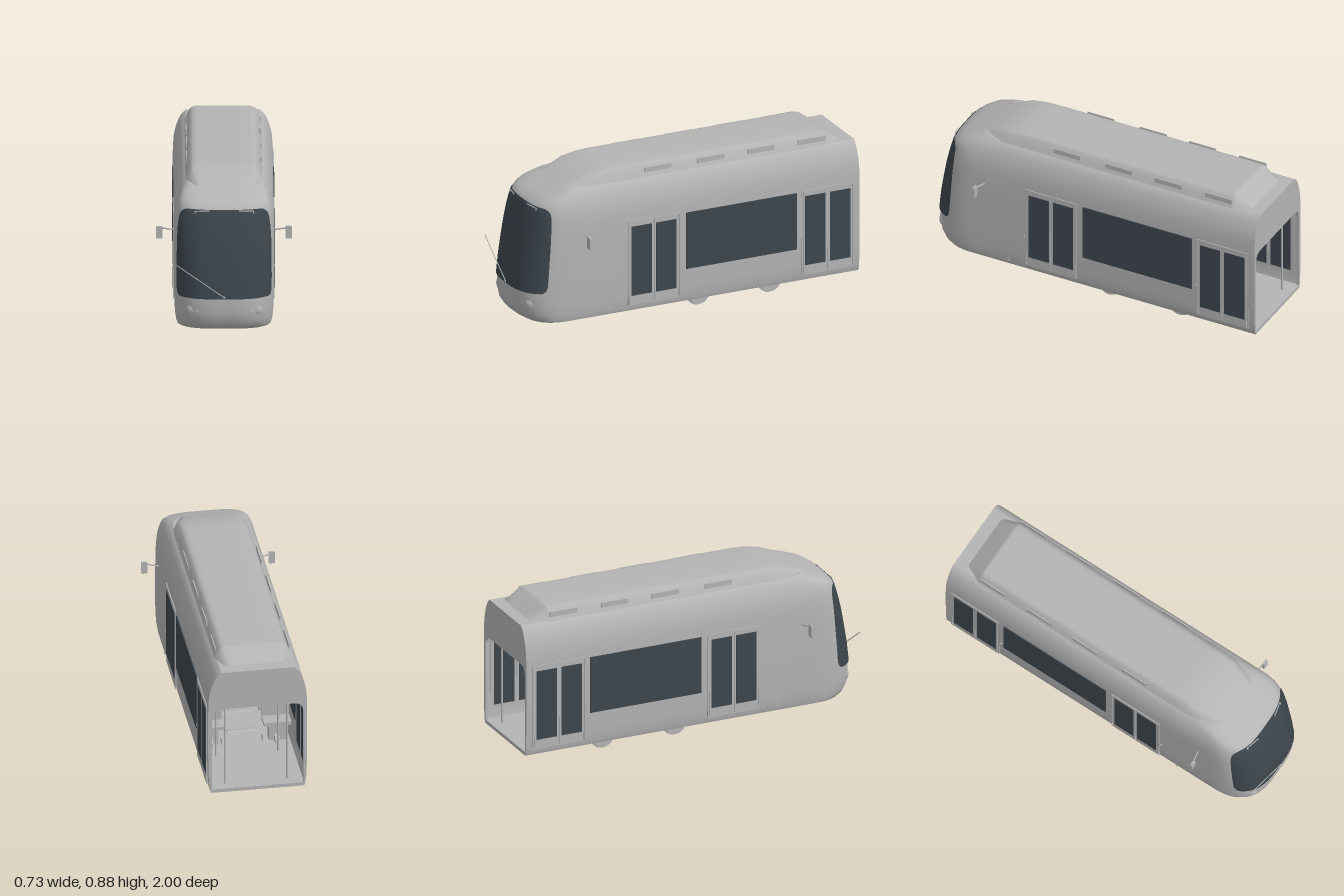
import * as THREE from 'three';

const mat = (name, color, side) => {
  const m = new THREE.MeshStandardMaterial({ color });
  m.name = name;
  if (side) m.side = side;
  return m;
};

// Body outline by height: y, half width, nose z, plan squareness
const PROFILE = [
  [0.07, 0.255, 0.93, 3], [0.085, 0.26, 0.955, 3], [0.12, 0.265, 0.978, 3], [0.17, 0.268, 0.988, 3],
  [0.25, 0.27, 0.99, 3], [0.35, 0.271, 0.978, 3], [0.45, 0.271, 0.961, 3], [0.55, 0.271, 0.942, 3],
  [0.62, 0.269, 0.925, 3], [0.67, 0.265, 0.911, 3], [0.7, 0.259, 0.902, 3], [0.72, 0.254, 0.893, 3],
  [0.74, 0.247, 0.874, 3.3], [0.763, 0.238, 0.836, 3.8], [0.785, 0.226, 0.775, 4.4],
  [0.8, 0.213, 0.735, 5], [0.811, 0.198, 0.706, 5],
];

function section(y) {
  let i = 0;
  while (i < PROFILE.length - 2 && y > PROFILE[i + 1][0]) i++;
  const a = PROFILE[i], b = PROFILE[i + 1], t = (y - a[0]) / (b[0] - a[0]);
  const [w, f, n] = [1, 2, 3].map(k => a[k] + (b[k] - a[k]) * t);
  return { w, f, n, z0: Math.min(0.7, f - 0.18) };
}

// Rounded nose point at height y and plan angle a, pushed out by off
function nosePoint(y, a, off = 0) {
  const { w, f, n, z0 } = section(y);
  const c = Math.cos(a), s = Math.max(0, Math.sin(a));
  return [Math.sign(c) * Math.abs(c) ** (2 / n) * (w + off), y, z0 + (f + off - z0) * s ** (2 / n)];
}

function noseZ(x, y) {
  const { w, f, n, z0 } = section(y);
  return z0 + (f - z0) * (1 - Math.abs(x / w) ** n) ** (1 / n);
}

// Surface through equal-length rows of points
function skin(rows) {
  const n = rows[0].length, index = [];
  for (let i = 0; i < rows.length - 1; i++)
    for (let j = 0; j < n - 1; j++) {
      const a = i * n + j, d = a + n;
      index.push(a, a + 1, d + 1, a, d + 1, d);
    }
  const g = new THREE.BufferGeometry();
  g.setAttribute('position', new THREE.Float32BufferAttribute(rows.flat(2), 3));
  g.setIndex(index);
  g.computeVertexNormals();
  return g;
}

export function createModel() {
  const root = new THREE.Group();
  root.name = 'tram';
  const grey = mat('bodyGrey', 0xb4b4b4, THREE.DoubleSide);
  const dark = mat('windowGlass', 0x3d464d, THREE.DoubleSide);

  const add = (name, geo, m, x = 0, y = 0, z = 0) => {
    const mesh = new THREE.Mesh(geo, m);
    mesh.name = name;
    mesh.position.set(x, y, z);
    root.add(mesh);
    return mesh;
  };
  const box = (name, m, sx, sy, sz, x, y, z) => add(name, new THREE.BoxGeometry(sx, sy, sz), m, x, y, z);
  const rod = (name, a, b, r, m = grey) => {
    const p = new THREE.Vector3(...a), q = new THREE.Vector3(...b);
    const mesh = add(name, new THREE.CylinderGeometry(r, r, p.distanceTo(q), 12), m);
    mesh.position.copy(p).lerp(q, 0.5);
    mesh.quaternion.setFromUnitVectors(new THREE.Vector3(0, 1, 0), q.sub(p).normalize());
    return mesh;
  };

  // Body shell with floor and roof caps
  const SEG = 64;
  const ring = y => {
    const { w } = section(y), pts = [[-w, y, -1]];
    for (let j = 0; j <= SEG; j++) pts.push(nosePoint(y, Math.PI * (1 - j / SEG)));
    pts.push([w, y, -1]);
    return pts;
  };
  add('bodyShell', skin(PROFILE.map(p => ring(p[0]))), grey);
  for (const [name, y] of [['underside', 0.07], ['roof', 0.811]]) {
    const shape = new THREE.Shape(ring(y).map(p => new THREE.Vector2(p[0], p[2])));
    add(name, new THREE.ShapeGeometry(shape).rotateX(Math.PI / 2), grey, 0, y, 0);
  }

  // Rear wall with its open gangway
  const wall = new THREE.Shape([
    ...PROFILE.map(p => new THREE.Vector2(p[1], p[0])),
    ...PROFILE.map(p => new THREE.Vector2(-p[1], p[0])).reverse(),
  ]);
  const hole = new THREE.Path();
  hole.moveTo(-0.25, 0.09);
  hole.lineTo(-0.25, 0.53);
  hole.quadraticCurveTo(-0.25, 0.585, -0.195, 0.585);
  hole.lineTo(0.195, 0.585);
  hole.quadraticCurveTo(0.25, 0.585, 0.25, 0.53);
  hole.lineTo(0.25, 0.09);
  hole.closePath();
  wall.holes.push(hole);
  add('rearWall', new THREE.ExtrudeGeometry(wall, { depth: 0.015, bevelEnabled: false }), grey, 0, 0, -1);

  // Wraparound windscreen with rounded corners
  const glassRows = [];
  for (let i = 0; i <= 32; i++) {
    const v = (1 - Math.cos(Math.PI * i / 32)) / 2, y = 0.248 + 0.474 * v;
    const edge = Math.max(0, 1 - Math.min(y - 0.248, 0.722 - y) / 0.045);
    const zEdge = 0.865 - 0.035 * v + 0.032 * (1 - Math.sqrt(1 - edge * edge));
    const { f, n, z0 } = section(y);
    const a = Math.asin(((zEdge - z0) / (f - z0)) ** (n / 2));
    const row = [];
    for (let j = 0; j <= SEG; j++) row.push(nosePoint(y, Math.PI - a - (Math.PI - 2 * a) * j / SEG, 0.004));
    glassRows.push(row);
  }
  add('windscreen', skin(glassRows), dark);

  // Roof fairing: z, half width, top height
  const fairing = [[0.708, 0.15, 0.812], [0.64, 0.18, 0.838], [0.574, 0.205, 0.86], [0.5, 0.208, 0.872],
    [0.43, 0.208, 0.877], [-0.82, 0.208, 0.877], [-0.835, 0.206, 0.872], [-0.93, 0.17, 0.812]];
  const half = [[1, 0], [0.93, 0.45], [0.86, 0.8], [0.8, 0.93], [0.7, 1], [0.35, 1.02]];
  const arch = [...half.map(([x, y]) => [-x, y]), [0, 1.03], ...[...half].reverse()];
  add('roofFairing', skin(fairing.map(([z, w, top]) =>
    arch.map(([x, y]) => [x * w, 0.808 + (top - 0.808) * y, z]))), grey);

  // Wiper and its pivot
  rod('wiper', [0, 0.258, 0.995], [-0.257, 0.438, 0.994], 0.0025);
  add('wiperPivot', new THREE.SphereGeometry(0.006, 12, 8), grey, 0, 0.258, 0.994);

  for (const s of [1, -1]) {
    // Side window and double doors
    box('sideWindow', dark, 0.0095, 0.325, 0.663, s * 0.271, 0.4225, -0.289);
    for (const zc of [0.235, -0.8075]) {
      for (const d of [0.075, -0.073]) {
        box('doorLeaf', grey, 0.007, 0.475, 0.143, s * 0.27, 0.3475, zc + d);
        box('doorGlass', dark, 0.0095, 0.4, 0.122, s * 0.271, 0.36, zc + d);
      }
      box('doorTopRail', grey, 0.008, 0.006, 0.312, s * 0.271, 0.589, zc);
      box('doorSill', grey, 0.01, 0.005, 0.312, s * 0.268, 0.108, zc);
      for (const d of [0.153, -0.153]) box('doorPost', grey, 0.008, 0.48, 0.004, s * 0.27, 0.348, zc + d);
      const button = add('doorButton', new THREE.CylinderGeometry(0.007, 0.007, 0.008, 16), grey, s * 0.272, 0.29, zc + 0.167);
      button.rotation.z = Math.PI / 2;
    }

    // Wing mirrors
    rod('mirrorArm', [s * 0.268, 0.551, 0.642], [s * 0.335, 0.563, 0.656], 0.004);
    const plate = new THREE.Shape();
    plate.absarc(0.0105, 0.0275, 0.007, 0, Math.PI / 2);
    plate.absarc(-0.0105, 0.0275, 0.007, Math.PI / 2, Math.PI);
    plate.absarc(-0.0105, -0.0275, 0.007, Math.PI, Math.PI * 1.5);
    plate.absarc(0.0105, -0.0275, 0.007, Math.PI * 1.5, Math.PI * 2);
    add('mirror', new THREE.ExtrudeGeometry(plate, { depth: 0.012, bevelEnabled: false }), grey, s * 0.349, 0.54, 0.654);

    // Headlights
    for (const [name, x, y, r] of [['headlight', 0.19, 0.178, 0.021], ['markerLight', 0.149, 0.174, 0.008]]) {
      const z = noseZ(x, y), dx = (noseZ(x + 0.005, y) - noseZ(x - 0.005, y)) / 0.01;
      const lamp = add(name, new THREE.SphereGeometry(r, 24, 12).scale(1, 1.1, 0.35), grey, s * x, y, z);
      const rim = add(name + 'Rim', new THREE.TorusGeometry(r, r * 0.13, 8, 28).scale(1, 1.1, 1), grey, s * x, y, z);
      lamp.rotation.y = rim.rotation.y = Math.atan(-dx) * s;
    }

    // Brackets at the top of the windscreen
    rod('topBracket', [s * 0.08, 0.717, 0.905], [s * 0.158, 0.712, 0.885], 0.003);
    rod('topBracketEnd', [s * 0.158, 0.714, 0.886], [s * 0.158, 0.7, 0.89], 0.003);

    // Roof side vents
    for (const z of [0.177, -0.14, -0.44, -0.745])
      box('roofVent', grey, 0.006, 0.028, 0.163, s * 0.2, 0.844, z);

    // Interior benches, poles and handrails
    for (const z of [-0.5, -0.32, -0.14]) {
      box('seat', grey, 0.15, 0.02, 0.09, s * 0.185, 0.2, z);
      box('seatBack', grey, 0.15, 0.15, 0.015, s * 0.185, 0.285, z + 0.045);
      box('seatBase', grey, 0.1, 0.1, 0.05, s * 0.19, 0.142, z);
    }
    for (const z of [-0.94, -0.64, 0.05, 0.41]) rod('grabPole', [s * 0.17, 0.09, z], [s * 0.17, 0.6, z], 0.005);
    rod('handrail', [s * 0.17, 0.53, -0.94], [s * 0.17, 0.53, 0.41], 0.004);
  }

  // Interior floor, ceiling and cab partition
  box('floor', grey, 0.51, 0.012, 1.6, 0, 0.084, -0.19);
  box('ceiling', grey, 0.53, 0.008, 1.5, 0, 0.604, -0.24);
  box('cabPartition', grey, 0.53, 0.515, 0.01, 0, 0.345, 0.5);

  // Running gear: wheels, flanges, brake discs, axles and motors
  for (const [z, dir] of [[-0.075, -1], [-0.504, 1]]) {
    rod('axle', [-0.19, 0.068, z], [0.19, 0.068, z], 0.01);
    for (const s of [1, -1]) {
      const disc = (name, r, t, x) =>
        add(name, new THREE.CylinderGeometry(r, r, t, 40).rotateZ(Math.PI / 2), grey, s * x, 0.07, z);
      disc('wheel', 0.061, 0.026, 0.181);
      disc('wheelFlange', 0.07, 0.008, 0.172);
      disc('brakeDisc', 0.042, 0.012, 0.112);
      box('axleBox', grey, 0.022, 0.02, 0.06, s * 0.204, 0.066, z);
    }
    const zm = z + dir * 0.108;
    rod('motor', [-0.1, 0.071, zm], [0.07, 0.071, zm], 0.028);
  }
  return root;
}
